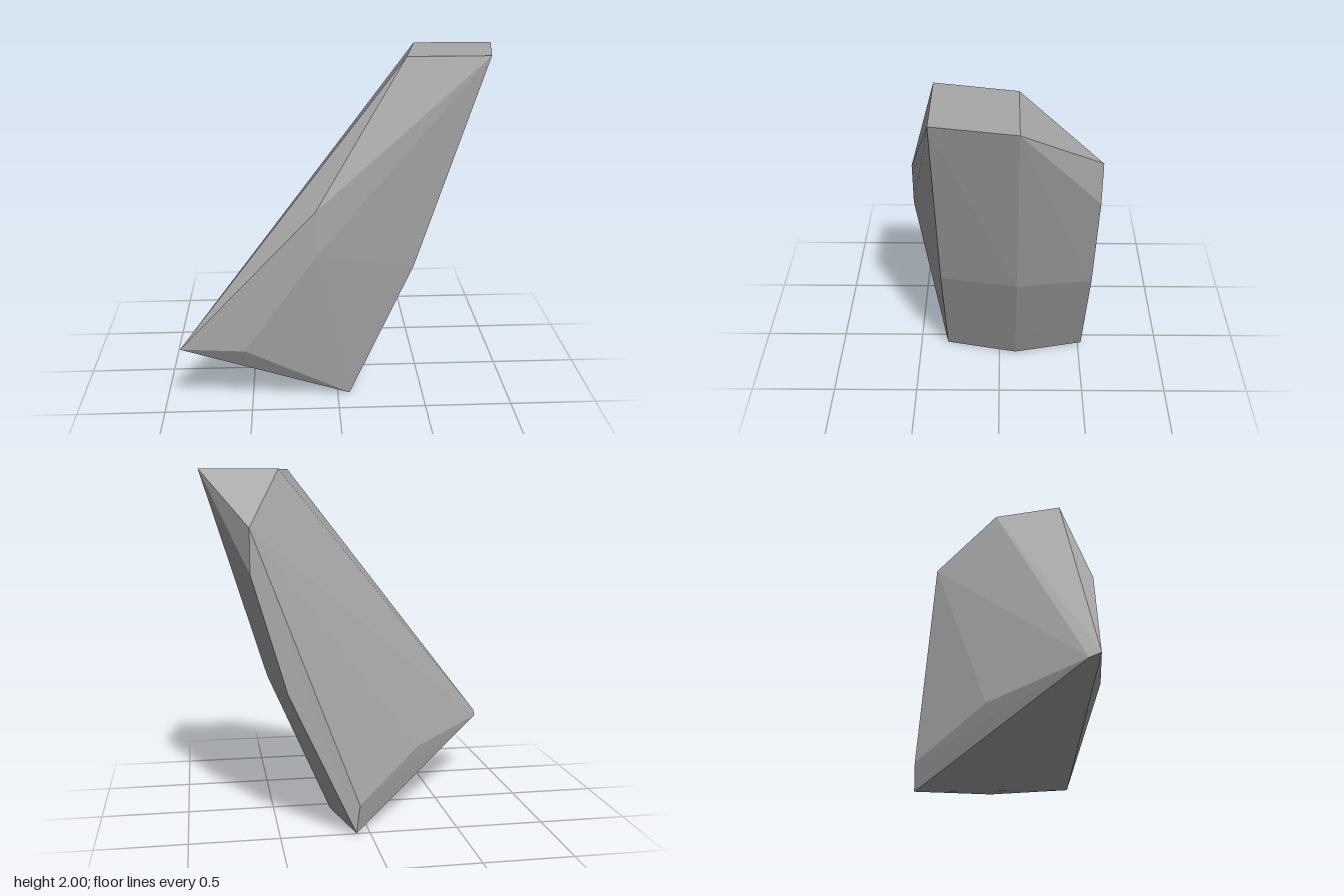
import * as THREE from 'three';
import { ConvexGeometry } from 'three/addons/geometries/ConvexGeometry.js';

export function createModel() {
  const group = new THREE.Group();
  group.name = 'rock';
  const stone = new THREE.MeshStandardMaterial({ color: 0xa8a8a8, flatShading: true });
  stone.name = 'stone grey';

  // Corners of the leaning, faceted stone, grouped by region
  const corners = [
    // flat top
    [0.36, 2, 0.33], [0.81, 2, 0.33], [0.89, 2, -0.1], [0.45, 2, -0.1],
    // front facet
    [-0.89, 0.41, 0.52], [-0.53, 0.39, 0.52], [-0.13, 0.95, 0.52], [-0.13, 1.21, 0.52],
    // bend on the left flank
    [0.43, 0.81, 0.33], [0.53, 0.83, -0.1], [0.45, 0.81, -0.52],
    // back facet
    [0.64, 1.7, -0.52], [0.64, 1.46, -0.52], [0.06, 0.17, -0.52],
    // foot
    [0.07, 0, 0.33], [0.17, 0.01, -0.1], [0.08, 0.01, -0.52],
    // blunt low tip and the chamfer behind it
    [-0.88, 0.39, 0.46], [-0.37, 0.36, -0.08],
  ].map((p) => new THREE.Vector3(...p));

  const body = new THREE.Mesh(new ConvexGeometry(corners), stone);
  body.name = 'stoneBody';
  group.add(body);
  return group;
}
